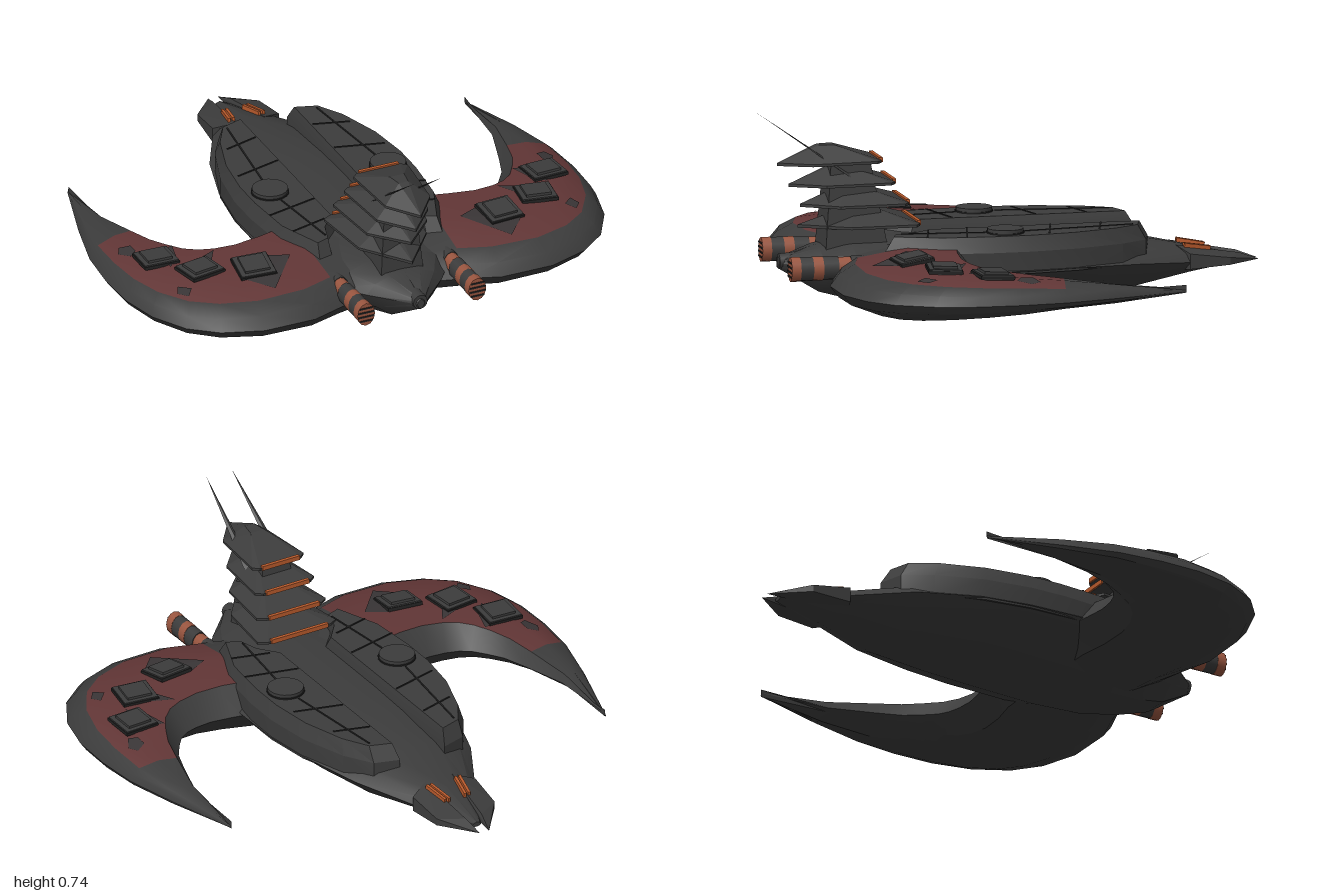
import * as THREE from 'three';
import { toCreasedNormals } from 'three/addons/utils/BufferGeometryUtils.js';
import { ConvexGeometry } from 'three/addons/geometries/ConvexGeometry.js';

const mat = (name, color) => Object.assign(new THREE.MeshStandardMaterial({ color }), { name });
const V = (x, y, z) => new THREE.Vector3(x, y, z);

// Closed skin over rings of points; isAccent(ring, column) picks the second material
function loft(rings, isAccent = () => false, crease = 0.5) {
  const lists = [[], []];
  const n = rings[0].length;
  const last = rings.length - 1;
  for (let i = 0; i < last; i++) {
    for (let j = 0; j < n; j++) {
      const k = (j + 1) % n;
      const [a, b, c, d] = [rings[i][j], rings[i][k], rings[i + 1][k], rings[i + 1][j]];
      lists[isAccent(i, j) ? 1 : 0].push([a, b, c], [a, c, d]);
    }
  }
  for (let j = 1; j < n - 1; j++) {
    lists[0].push([rings[0][0], rings[0][j + 1], rings[0][j]]);
    lists[0].push([rings[last][0], rings[last][j], rings[last][j + 1]]);
  }
  let volume = 0;
  for (const [a, b, c] of lists.flat()) volume += a.dot(b.clone().cross(c));
  const pos = [];
  for (const [a, b, c] of lists.flat()) {
    for (const p of volume < 0 ? [a, c, b] : [a, b, c]) pos.push(p.x, p.y, p.z);
  }
  const g = new THREE.BufferGeometry();
  g.setAttribute('position', new THREE.Float32BufferAttribute(pos, 3));
  g.addGroup(0, lists[0].length * 3, 0);
  if (lists[1].length) g.addGroup(lists[0].length * 3, lists[1].length * 3, 1);
  const out = toCreasedNormals(g, crease);
  if (!lists[1].length) out.clearGroups();
  return out;
}

export function createModel() {
  const hullMat = mat('charcoal hull', 0x3c3c3c);
  const redMat = mat('dull red paint', 0x623636);
  const lineMat = mat('dark seam', 0x222222);
  const glowMat = mat('orange vent', 0xb85a2c);
  const copperMat = mat('copper band', 0x9a5640);
  const patchMat = mat('dark patch', 0x393536);
  patchMat.side = THREE.DoubleSide;

  const model = new THREE.Group();
  const add = (parent, name, geo, material, x = 0, y = 0, z = 0) => {
    const m = new THREE.Mesh(geo, material);
    m.name = name;
    m.position.set(x, y, z);
    parent.add(m);
    return m;
  };
  const box = (w, h, d) => new THREE.BoxGeometry(w, h, d);

  // Hull: z, half width, rim height, top, bottom
  const hullStations = [
    [-0.92, 0.02, 0.1, 0.115, 0.095], [-0.7, 0.13, 0.115, 0.165, 0.065],
    [-0.45, 0.26, 0.14, 0.215, 0.022], [-0.2, 0.335, 0.15, 0.235, 0.015],
    [0, 0.365, 0.15, 0.24, 0.01], [0.3, 0.37, 0.15, 0.24, 0],
    [0.5, 0.33, 0.15, 0.24, 0.002], [0.65, 0.24, 0.15, 0.24, 0.02],
    [0.77, 0.16, 0.16, 0.225, 0.05], [0.92, 0.015, 0.16, 0.18, 0.14],
  ];
  add(model, 'hull', loft(hullStations.map(([z, w, rim, top, bot]) => {
    const half = [[0.4, top - 0.004], [0.78, top * 0.6 + rim * 0.4], [1, rim], [0.75, rim * 0.45 + bot * 0.55], [0.34, bot]];
    return [V(0, top, z), ...half.map(([f, y]) => V(f * w, y, z)), ...half.reverse().map(([f, y]) => V(-f * w, y, z))];
  })), hullMat);
  const bow = add(model, 'bowBoss', new THREE.CylinderGeometry(0.03, 0.034, 0.06, 12), hullMat, 0, 0.165, 0.885);
  bow.rotation.x = Math.PI / 2;

  // Crescent wing: outer x, z, inner x, z, top, bottom
  const wingStations = [
    [0.842, -0.49, 0.838, -0.49, 0.135, 0.125], [0.93, -0.2, 0.82, -0.2, 0.175, 0.1],
    [0.985, 0.02, 0.765, -0.02, 0.198, 0.085], [1, 0.2, 0.73, 0.08, 0.21, 0.07],
    [0.995, 0.37, 0.69, 0.14, 0.218, 0.06], [0.957, 0.53, 0.65, 0.19, 0.224, 0.05],
    [0.877, 0.67, 0.61, 0.215, 0.229, 0.04], [0.77, 0.755, 0.56, 0.23, 0.233, 0.032],
    [0.61, 0.81, 0.49, 0.237, 0.238, 0.025], [0.395, 0.81, 0.4, 0.225, 0.244, 0.018],
    [0.265, 0.765, 0.28, 0.2, 0.246, 0.012], [0.1, 0.72, 0.1, 0.2, 0.235, 0.01],
  ];
  const wingGeo = loft(wingStations.map(([ox, oz, ix, iz, top, bot]) => {
    const rim = 0.13;
    const section = [[0, 0.14], [0.14, top - 0.004], [0.48, top], [0.83, top * 0.72 + rim * 0.28],
      [0.94, top * 0.4 + rim * 0.6], [1, rim], [0.94, rim * 0.6 + bot * 0.4], [0.72, bot + 0.012], [0.42, bot], [0.14, bot + 0.03]];
    return section.map(([t, y]) => V(ix + (ox - ix) * t, y, iz + (oz - iz) * t));
  }), (i, j) => i >= 2 && i <= 9 && (j === 1 || j === 2));
  const wingProbe = new THREE.Mesh(wingGeo, [hullMat, redMat]);
  const probe = (x, z) => new THREE.Raycaster(V(x, 1, z), V(0, -1, 0)).intersectObject(wingProbe)[0];

  // Raised deck outline, x and z
  const deckOutline = [[0.1, -0.52], [0.2, -0.49], [0.27, -0.38], [0.335, -0.19], [0.362, 0], [0.362, 0.15],
    [0.34, 0.37], [0.26, 0.56], [0.2, 0.54], [0.17, 0.45], [0.1, 0.37]];
  const deckGeo = loft([[0.14, 1, 1], [0.225, 1, 1], [0.285, 0.86, 0.93]].map(([y, sx, sz]) =>
    deckOutline.map(([x, z]) => V(0.2 + (x - 0.2) * sx, y, z * sz))), undefined, 0.3);

  // Dark patches painted on the wing, x and z
  const patches = [
    [[0.36, 0.5], [0.44, 0.46], [0.58, 0.58], [0.5, 0.67]],
    [[0.6, 0.32], [0.69, 0.36], [0.64, 0.39]],
    [[0.79, 0.53], [0.83, 0.49], [0.85, 0.53], [0.82, 0.57]],
    [[0.86, 0.12], [0.9, 0.1], [0.92, 0.14], [0.89, 0.19], [0.86, 0.17]],
    [[0.72, 0.2], [0.79, 0.22], [0.8, 0.36], [0.75, 0.31]],
  ];

  for (const side of [1, -1]) {
    const half = new THREE.Group();
    half.name = side > 0 ? 'leftSide' : 'rightSide';
    half.scale.x = side;
    model.add(half);

    add(half, 'wing', wingGeo, [hullMat, redMat]);
    for (const poly of patches) {
      const pts = poly.map(([x, z]) => V(x, (probe(x, z)?.point.y ?? 0.22) + 0.004, z));
      const tris = [];
      for (let i = 1; i < pts.length - 1; i++) tris.push(pts[0], pts[i + 1], pts[i]);
      const g = new THREE.BufferGeometry().setFromPoints(tris);
      g.computeVertexNormals();
      add(half, 'wingPatch', g, patchMat);
    }

    // Stepped armour tiles sitting on the wing
    for (const [x, z, turn] of [[0.52, 0.515, 0.1], [0.71, 0.435, -0.15], [0.82, 0.27, 0.05]]) {
      const hit = probe(x, z);
      const tile = new THREE.Group();
      tile.name = 'armourTile';
      tile.position.copy(hit.point);
      tile.quaternion.setFromUnitVectors(V(0, 1, 0), hit.face.normal);
      tile.rotateY(turn);
      add(tile, 'tileSeam', box(0.145, 0.012, 0.135), lineMat, 0, 0.003, 0);
      add(tile, 'tileBase', box(0.138, 0.02, 0.128), hullMat, 0, 0.004, 0);
      add(tile, 'tileTop', box(0.1, 0.02, 0.095), hullMat, 0, 0.014, 0);
      half.add(tile);
    }

    // Deck with round hatch and panel seams
    add(half, 'deck', deckGeo, hullMat);
    add(half, 'hatchSeam', new THREE.CylinderGeometry(0.074, 0.074, 0.01, 20), lineMat, 0.25, 0.285, 0.08);
    add(half, 'hatch', new THREE.CylinderGeometry(0.07, 0.07, 0.03, 20), hullMat, 0.25, 0.288, 0.08);
    const seams = [[0.19, -0.44, 0.24, 0], [0.24, 0.15, 0.2, 0.48], [0.12, -0.33, 0.26, -0.29],
      [0.12, -0.13, 0.31, -0.08], [0.12, 0.2, 0.33, 0.25], [0.15, 0.36, 0.3, 0.4]];
    for (const [x1, z1, x2, z2] of seams) {
      const s = add(half, 'deckSeam', box(0.006, 0.004, Math.hypot(x2 - x1, z2 - z1)), lineMat, (x1 + x2) / 2, 0.286, (z1 + z2) / 2);
      s.rotation.y = Math.atan2(x2 - x1, z2 - z1);
    }

    // Tail claw and its vent
    add(half, 'tailClaw', new ConvexGeometry([V(0.02, 0.1, -0.98), V(0.13, 0.1, -0.84), V(0.13, 0.128, -0.84),
      V(0.14, 0.09, -0.68), V(0.14, 0.15, -0.68), V(0.06, 0.175, -0.64), V(0.06, 0.08, -0.64), V(0.035, 0.13, -0.9)]), hullMat);
    for (const dx of [-0.009, 0.009]) {
      const vent = add(half, 'tailVent', box(0.011, 0.02, 0.11), glowMat, 0.054 + dx, 0.163, -0.725);
      vent.rotation.set(-0.17, 0.18, 0);
    }

    // Banded cannon with a grilled muzzle
    const cannon = new THREE.Group();
    cannon.name = 'cannon';
    cannon.position.set(0.235, 0.172, 0);
    cannon.scale.y = 1.3;
    half.add(cannon);
    for (const [z1, z2, r, m] of [[0.6, 0.69, 0.034, hullMat], [0.69, 0.74, 0.032, copperMat], [0.74, 0.8, 0.035, hullMat],
      [0.8, 0.84, 0.036, copperMat], [0.84, 0.89, 0.036, hullMat], [0.89, 0.927, 0.037, copperMat]]) {
      const g = new THREE.CylinderGeometry(r, r, z2 - z1, 12).rotateX(Math.PI / 2);
      add(cannon, 'cannonBand', g, m, 0, 0, (z1 + z2) / 2);
    }
    for (const y of [-0.021, -0.007, 0.007, 0.021]) {
      add(cannon, 'muzzleBar', box(2 * Math.sqrt(0.035 ** 2 - y * y), 0.005, 0.004), lineMat, 0, y, 0.928);
    }

    // Swept spike on the tower
    add(half, 'towerSpike', new ConvexGeometry([V(0.057, 0.735, 0.985), V(0.05, 0.5, 0.66), V(0.088, 0.5, 0.66),
      V(0.066, 0.565, 0.74), V(0.07, 0.47, 0.6)]), hullMat);
  }

  // Tower column
  const column = [];
  for (const s of [-1, 1]) {
    column.push(V(s * 0.09, 0.2, 0.5), V(s * 0.09, 0.2, 0.75), V(s * 0.058, 0.57, 0.57), V(s * 0.058, 0.57, 0.72));
  }
  add(model, 'towerColumn', new ConvexGeometry(column), hullMat);

  // Four stacked roofs, each pointed toward the front with a vent on the rear lip
  for (const [w, y, zb, zf] of [[0.175, 0.305, 0.39, 0.84], [0.155, 0.385, 0.43, 0.83], [0.132, 0.465, 0.48, 0.875], [0.115, 0.548, 0.53, 0.92]]) {
    const pts = [V(0, y - 0.012, zf), V(0, y, zf)];
    for (const s of [-1, 1]) {
      for (const h of [0, 0.01]) pts.push(V(s * w, y + h, zb + 0.02), V(s * w * 0.8, y + h, zb), V(s * w * 0.82, y + h - 0.006, zb + 0.27));
      pts.push(V(s * 0.03, y + 0.066, zb + 0.17), V(s * 0.02, y + 0.066, zb + 0.23));
    }
    add(model, 'towerRoof', new ConvexGeometry(pts), hullMat);
    add(model, 'roofVent', box(w * 1.45, 0.018, 0.014), glowMat, 0, y + 0.01, zb);
  }
  return model;
}
